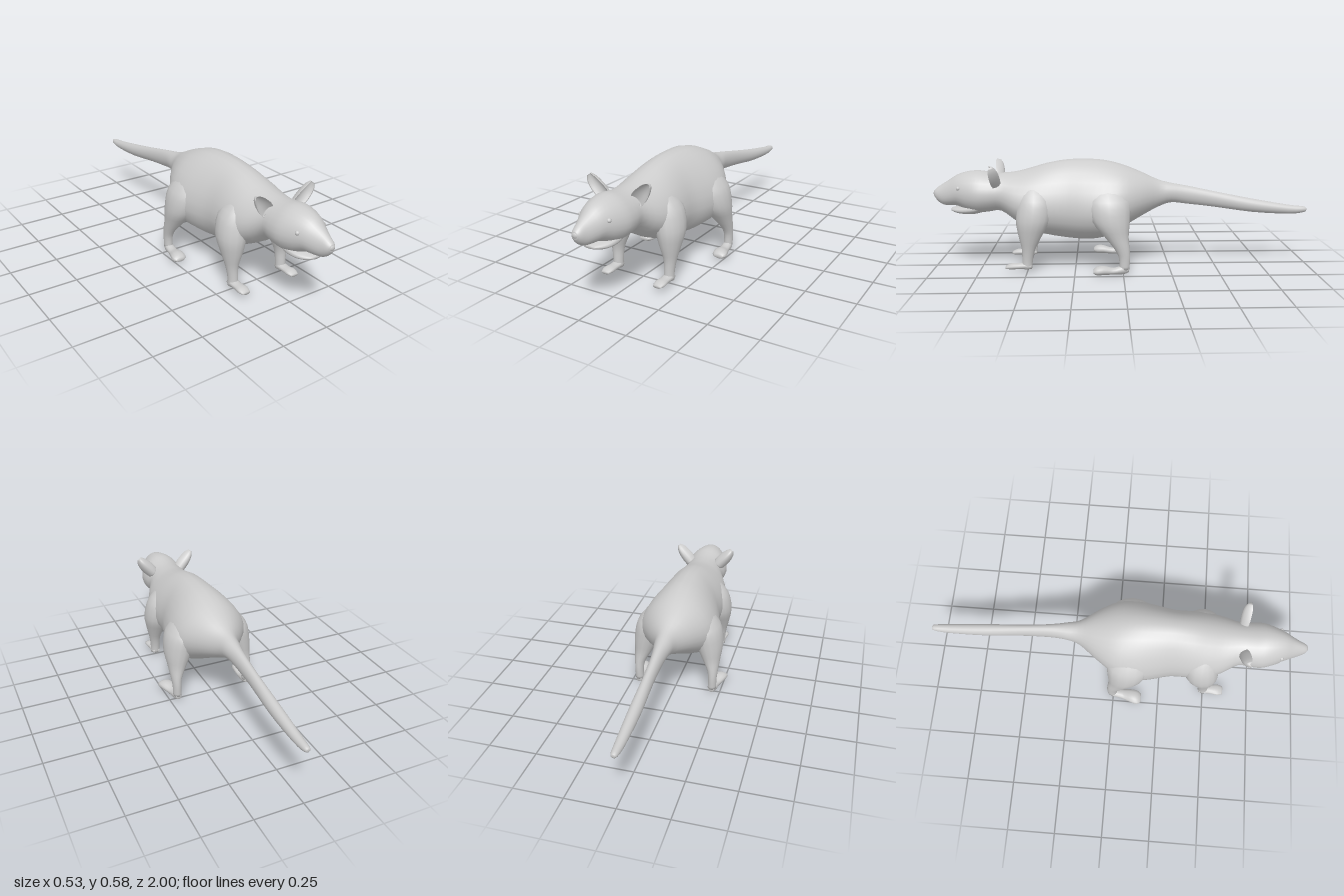
import * as THREE from 'three';

const grey = new THREE.MeshStandardMaterial({ color: 0xcccccc });

// Catmull-Rom blend of every column in a list of cross-section rows
function refine(rows, sub) {
  const out = [];
  for (let i = 0; i < rows.length - 1; i++) {
    const [a, b, c, d] = [rows[Math.max(i - 1, 0)], rows[i], rows[i + 1], rows[Math.min(i + 2, rows.length - 1)]];
    for (let s = 0; s < sub; s++) {
      const t = s / sub;
      out.push(b.map((p, k) => p + 0.5 * t * (c[k] - a[k]
        + t * (2 * a[k] - 5 * p + 4 * c[k] - d[k] + t * (3 * (p - c[k]) + d[k] - a[k])))));
    }
  }
  out.push(rows[rows.length - 1]);
  return out;
}

// Closed skin over cross-sections; ring(row, cos, sin) gives one [x, y, z] point
function loft(rows, ring, seg = 16, sub = 3, side = 1) {
  const pos = [], idx = [];
  const rings = refine(rows, sub).map((row) => Array.from({ length: seg }, (_, j) => {
    const a = (j / seg) * Math.PI * 2;
    const [x, y, z] = ring(row, Math.cos(a), Math.sin(a));
    return new THREE.Vector3(x * side, y, z);
  }));
  rings.flat().forEach((p) => pos.push(p.x, p.y, p.z));
  const n = rings.length;
  const quad = (i, j) => [i * seg + j, i * seg + (j + 1) % seg];
  for (let i = 0; i < n - 1; i++) {
    for (let j = 0; j < seg; j++) {
      const [a, b] = quad(i, j), [c, d] = quad(i + 1, j);
      idx.push(a, b, c, b, d, c);
    }
  }
  // end caps
  [0, n - 1].forEach((i, end) => {
    const c = new THREE.Vector3();
    rings[i].forEach((p) => c.addScaledVector(p, 1 / seg));
    pos.push(c.x, c.y, c.z);
    for (let j = 0; j < seg; j++) {
      const [a, b] = quad(i, j);
      if (end) idx.push(n * seg + 1, a, b);
      else idx.push(n * seg, b, a);
    }
  });
  // turn the faces outward if the enclosed volume is negative
  const v = (i) => new THREE.Vector3().fromArray(pos, i * 3);
  let volume = 0;
  for (let i = 0; i < idx.length; i += 3) volume += v(idx[i]).dot(v(idx[i + 1]).cross(v(idx[i + 2])));
  if (volume < 0) idx.reverse();
  const geo = new THREE.BufferGeometry();
  geo.setAttribute('position', new THREE.Float32BufferAttribute(pos, 3));
  geo.setIndex(idx);
  geo.computeVertexNormals();
  return geo;
}

// Ring styles
const bodyRing = ([z, top, bottom, w, pear], c, s) =>
  [w * c * (1 - pear * s), (top + bottom) / 2 + s * (top - bottom) / 2, z];
const legRing = ([y, x, z, rx, rz], c, s) => [x + rx * c, y, z + rz * s];
const footRing = ([z, x, y, w, h], c, s) => [x + w * c, y + h * s, z];
// cupped: the front half of the ring is pushed inward
const earRing = ([x, y, z, w, h], c, s) =>
  [x + 0.78 * w * c, y - 0.62 * w * c, z + h * (s > 0 ? -0.25 * s : s) + h * 0.7 * c * c];

// z, top, bottom, half width, pear shape
const tailRows = [
  [-1, 0.306, 0.294, 0.007, 0], [-0.985, 0.315, 0.283, 0.017, 0], [-0.9, 0.325, 0.275, 0.024, 0],
  [-0.7, 0.36, 0.287, 0.03, 0], [-0.5, 0.40, 0.316, 0.027, 0], [-0.35, 0.432, 0.334, 0.032, 0],
];
const trunkRows = [
  [-0.26, 0.449, 0.342, 0.045, 0], [-0.19, 0.468, 0.318, 0.064, 0.05], [-0.1, 0.51, 0.272, 0.13, 0.1],
  [0, 0.55, 0.215, 0.19, 0.18], [0.1, 0.574, 0.163, 0.207, 0.25], [0.2, 0.58, 0.152, 0.192, 0.25],
  [0.3, 0.576, 0.16, 0.17, 0.22], [0.4, 0.558, 0.178, 0.172, 0.22], [0.48, 0.535, 0.205, 0.17, 0.22],
  [0.56, 0.515, 0.25, 0.15, 0.2], [0.64, 0.508, 0.305, 0.114, 0.1],
];
const headRows = [
  [0.7, 0.512, 0.302, 0.117, 0.1], [0.76, 0.521, 0.296, 0.118, 0.12], [0.82, 0.515, 0.308, 0.1, 0.12],
  [0.87, 0.499, 0.332, 0.077, 0.12], [0.91, 0.474, 0.334, 0.058, 0.12], [0.95, 0.449, 0.339, 0.04, 0.1],
  [0.98, 0.429, 0.36, 0.027, 0], [0.995, 0.415, 0.383, 0.015, 0],
];
const jawRows = [
  [0.72, 0.37, 0.305, 0.07, 0], [0.78, 0.352, 0.289, 0.08, 0], [0.84, 0.337, 0.289, 0.073, 0],
  [0.88, 0.328, 0.296, 0.052, 0], [0.905, 0.322, 0.307, 0.028, 0],
];

// y, x, z, radius x, radius z
const foreLegRows = [
  [0.45, 0.09, 0.46, 0.04, 0.05], [0.38, 0.12, 0.455, 0.07, 0.085], [0.28, 0.142, 0.465, 0.07, 0.088],
  [0.2, 0.148, 0.48, 0.052, 0.062], [0.13, 0.152, 0.49, 0.032, 0.036], [0.07, 0.15, 0.497, 0.026, 0.028],
  [0.025, 0.15, 0.5, 0.026, 0.027],
];
const hindLegRows = [
  [0.47, 0.1, 0.08, 0.04, 0.06], [0.38, 0.145, 0.075, 0.078, 0.11], [0.28, 0.172, 0.065, 0.074, 0.1],
  [0.2, 0.19, 0.035, 0.05, 0.063], [0.14, 0.205, 0.008, 0.03, 0.04], [0.09, 0.208, -0.006, 0.023, 0.029],
  [0.03, 0.207, -0.005, 0.023, 0.026],
];

// z, x, y, half width, half height
const foreFootRows = [
  [0.475, 0.15, 0.034, 0.02, 0.012], [0.5, 0.15, 0.038, 0.027, 0.018], [0.54, 0.15, 0.036, 0.026, 0.015],
  [0.58, 0.151, 0.036, 0.031, 0.015], [0.61, 0.151, 0.031, 0.022, 0.008],
];
const hindFootRows = [
  [-0.028, 0.207, 0.028, 0.014, 0.014], [0, 0.207, 0.028, 0.025, 0.024], [0.05, 0.212, 0.022, 0.027, 0.017],
  [0.1, 0.222, 0.029, 0.038, 0.022], [0.135, 0.228, 0.028, 0.039, 0.021], [0.155, 0.23, 0.026, 0.025, 0.009],
];

// x, y, z, half width, half thickness
const earRows = [
  [0.085, 0.462, 0.655, 0.034, 0.022], [0.108, 0.488, 0.66, 0.037, 0.026], [0.133, 0.516, 0.664, 0.033, 0.026],
  [0.152, 0.54, 0.669, 0.024, 0.022], [0.163, 0.556, 0.673, 0.011, 0.012],
];

export function createModel() {
  const model = new THREE.Group();
  const add = (name, geo) => {
    const mesh = new THREE.Mesh(geo, grey);
    mesh.name = name;
    model.add(mesh);
    return mesh;
  };

  // continuous skin from tail tip to snout
  add('bodyHeadAndTail', loft([...tailRows, ...trunkRows, ...headRows], bodyRing, 24, 3));
  add('lowerJaw', loft(jawRows, bodyRing));

  // nose pad
  const nose = add('nose', new THREE.SphereGeometry(1, 14, 10));
  nose.scale.set(0.021, 0.018, 0.016);
  nose.position.set(0, 0.4, 0.984);

  for (const [label, side] of [['left', 1], ['right', -1]]) {
    add(label + 'ForeLeg', loft(foreLegRows, legRing, 16, 3, side));
    add(label + 'ForeFoot', loft(foreFootRows, footRing, 12, 3, side));
    add(label + 'HindLeg', loft(hindLegRows, legRing, 16, 3, side));
    add(label + 'HindFoot', loft(hindFootRows, footRing, 12, 3, side));
    add(label + 'Ear', loft(earRows, earRing, 18, 3, side));
    const eye = add(label + 'Eye', new THREE.SphereGeometry(0.011, 12, 8));
    eye.position.set(side * 0.077, 0.435, 0.855);
  }
  return model;
}
